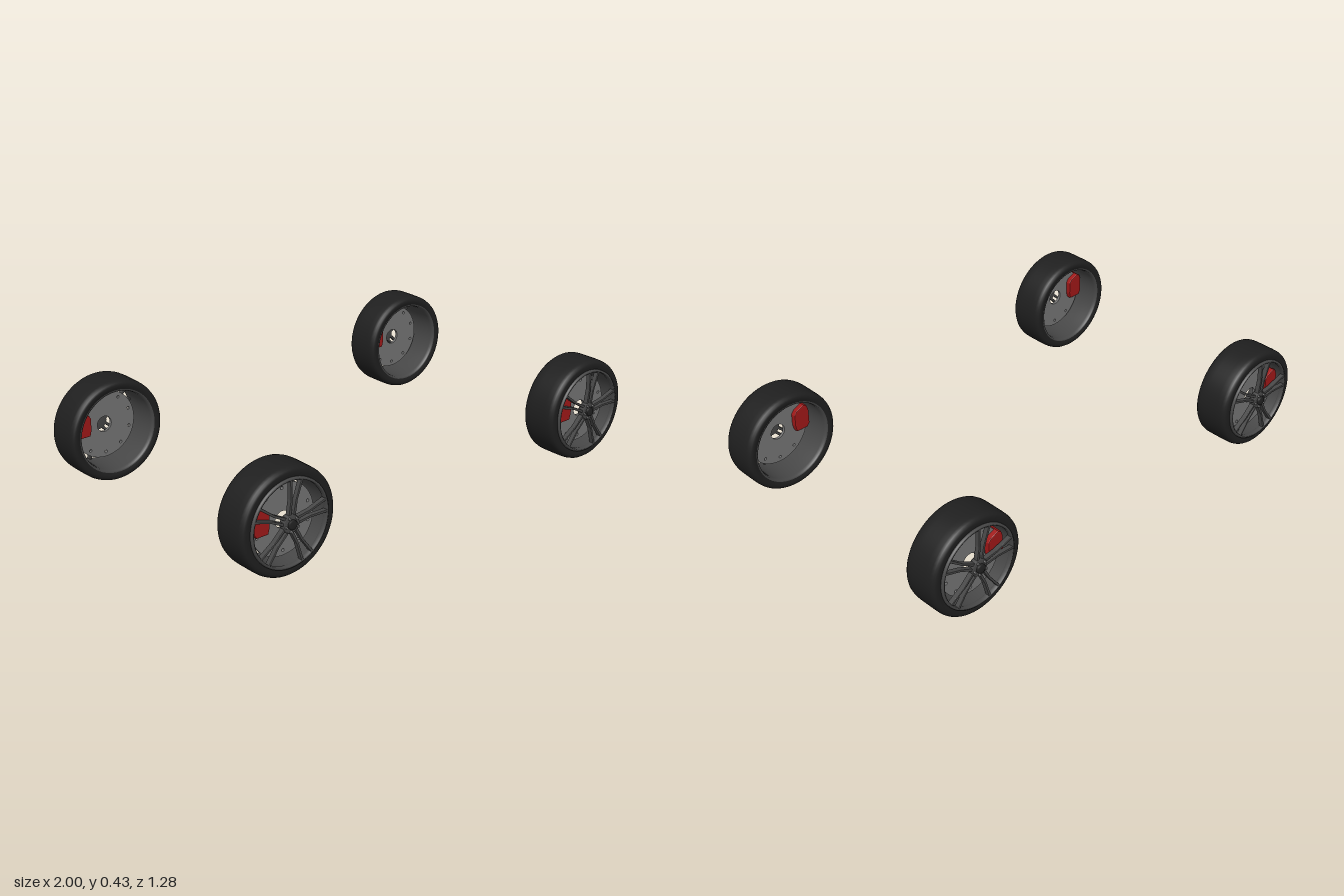
import * as THREE from 'three';

const mat = (color) => new THREE.MeshStandardMaterial({ color, side: THREE.DoubleSide });
const TYRE_R = 0.213;

function add(parent, name, geometry, material) {
  const mesh = new THREE.Mesh(geometry, material);
  mesh.name = name;
  parent.add(mesh);
  return mesh;
}

// Lathe around the z axle from [radius, z] pairs
function turned(points, segments = 64) {
  return new THREE.LatheGeometry(points.map(([r, z]) => new THREE.Vector2(r, z)), segments).rotateX(Math.PI / 2);
}

function extruded(shape, z, depth, bevel = 0) {
  const g = new THREE.ExtrudeGeometry(shape, {
    depth: depth - 2 * bevel, bevelEnabled: bevel > 0, bevelSize: bevel,
    bevelThickness: bevel, bevelOffset: -bevel, bevelSegments: 2, curveSegments: 32,
  });
  return g.translate(0, 0, z + bevel);
}

const polygon = (pts) => new THREE.Shape(pts.map(([x, y]) => new THREE.Vector2(x, y)));

function circlePath(r, x = 0, y = 0) {
  const p = new THREE.Path();
  p.absarc(x, y, r, 0, Math.PI * 2, true);
  return p;
}

// One wheel with its outer face toward +z; side sets where the caliper sits
function createWheel(side) {
  const wheel = new THREE.Group();
  const rubber = mat(0x1f1f1f), alloy = mat(0x474747), steel = mat(0x747474);
  const dark = mat(0x222222), red = mat(0xa01818);

  // Tyre: flat tread with rounded shoulders, open in the middle
  add(wheel, 'tyre', turned([
    [0.17, -0.070], [0.185, -0.077], [0.196, -0.077], [0.204, -0.074], [0.209, -0.067],
    [0.212, -0.055], [TYRE_R, -0.03], [TYRE_R, 0.03], [0.212, 0.055], [0.209, 0.067],
    [0.204, 0.074], [0.196, 0.077], [0.185, 0.077], [0.17, 0.074],
  ]), rubber);

  // Rim barrel and raised outer lip
  add(wheel, 'rimBarrel', turned([
    [0.176, -0.075], [0.169, -0.074], [0.166, -0.06], [0.164, 0], [0.166, 0.07],
  ]), alloy);
  add(wheel, 'rimLip', turned([
    [0.166, 0.066], [0.176, 0.076], [0.175, 0.083], [0.17, 0.087], [0.165, 0.085], [0.164, 0.07], [0.166, 0.066],
  ]), alloy);

  // Five pairs of diverging spokes
  const spokes = new THREE.Group();
  spokes.name = 'spokes';
  wheel.add(spokes);
  for (let i = 0; i < 5; i++) {
    for (const s of [-1, 1]) {
      const leg = polygon([
        [0.022, s * 0.004], [0.09, s * 0.007], [0.168, s * 0.02],
        [0.166, s * 0.03], [0.09, s * 0.016], [0.022, s * 0.016],
      ]);
      const spoke = add(spokes, 'spoke', extruded(leg, 0.066, 0.02, 0.002), alloy);
      spoke.rotation.z = THREE.MathUtils.degToRad(80 + 72 * i);
    }
  }

  // Hub plate, lug bolts and centre cap
  add(wheel, 'hub', turned([[0, 0.062], [0.034, 0.062], [0.036, 0.066], [0.036, 0.086], [0.033, 0.09], [0, 0.09]], 40), alloy);
  for (let i = 0; i < 5; i++) {
    const a = THREE.MathUtils.degToRad(44 + 72 * i);
    const bolt = add(wheel, 'lugBolt', new THREE.CylinderGeometry(0.005, 0.005, 0.012, 6).rotateX(Math.PI / 2), steel);
    bolt.position.set(0.028 * Math.cos(a), 0.028 * Math.sin(a), 0.092);
  }
  add(wheel, 'centreCap', turned([[0.019, 0.085], [0.019, 0.097], [0.016, 0.1], [0, 0.1]], 32), dark);

  // Drilled brake disc with an open centre
  const disc = new THREE.Shape();
  disc.absarc(0, 0, 0.142, 0, Math.PI * 2, false);
  disc.holes.push(circlePath(0.033));
  for (let i = 0; i < 10; i++) {
    const a = (i + 0.5) * Math.PI / 5;
    disc.holes.push(circlePath(0.006, 0.122 * Math.cos(a), 0.122 * Math.sin(a)));
  }
  add(wheel, 'brakeDisc', extruded(disc, 0.024, 0.012), steel);

  // Caliper clamped over the disc edge
  const outline = [[-0.143, -0.01], [-0.132, -0.026], [-0.08, -0.026], [-0.073, 0.0],
    [-0.073, 0.05], [-0.084, 0.066], [-0.12, 0.082], [-0.135, 0.074], [-0.143, 0.05]];
  const pts = outline.map(([x, y]) => [x * side, y]);
  add(wheel, 'brakeCaliper', extruded(polygon(pts), 0.002, 0.056, 0.004), red);
  return wheel;
}

export function createModel() {
  const model = new THREE.Group();
  model.name = 'wheelSet';
  for (const front of [true, false]) {
    for (const x of [-1, 1]) {
      const wheel = createWheel(front ? 1 : -1);
      wheel.name = (front ? 'front' : 'back') + (x > 0 ? 'Left' : 'Right') + 'Wheel';
      wheel.position.set(x * (1 - TYRE_R), TYRE_R, front ? 0.54 : -0.54);
      if (!front) wheel.rotation.y = Math.PI;
      model.add(wheel);
    }
  }
  return model;
}
